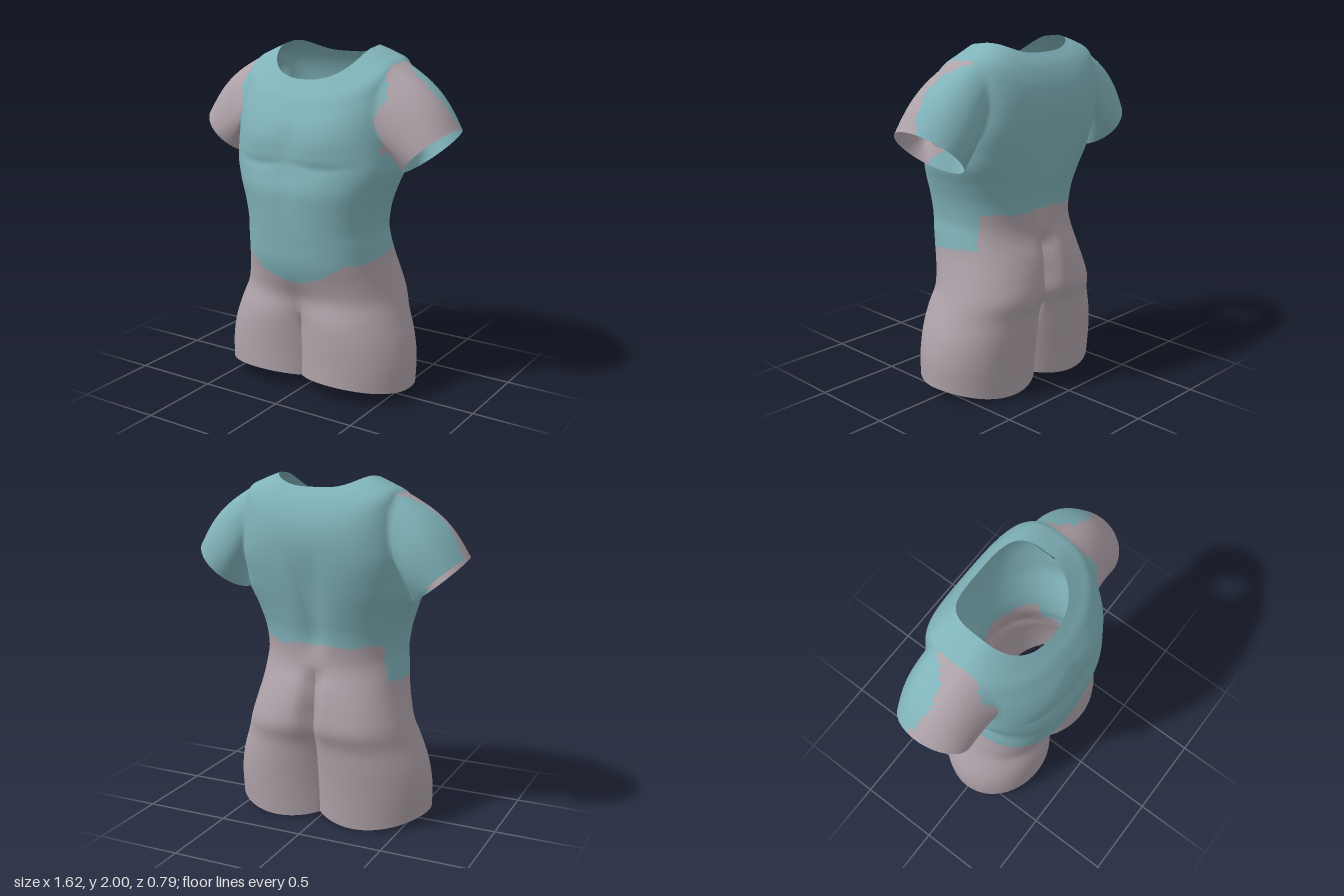
import * as THREE from 'three';

// Body key sections, bottom to top: half width, z front, z back, y front, y side, y back
const level = (w, zF, zB, y) => [w, zF, zB, y, y, y];
const KEYS = [
  [.60, .32, -.31, .10, .06, 0],
  [.60, .32, -.325, .22, .21, .18],
  [.575, .32, -.34, .35, .345, .33],
  level(.53, .315, -.355, .47),         // crotch, legs split below
  level(.49, .303, -.39, .58),
  level(.458, .33, -.38, .69),
  level(.432, .362, -.35, .80),
  level(.42, .375, -.305, .91),
  level(.412, .385, -.295, 1.0),        // waist
  level(.43, .395, -.305, 1.12),
  level(.465, .40, -.33, 1.23),
  level(.505, .38, -.355, 1.34),
  [.505, .373, -.372, 1.43, 1.45, 1.43], // armhole bottom
  [.50, .365, -.39, 1.52, 1.56, 1.55],
  [.49, .345, -.397, 1.60, 1.70, 1.66],
  [.475, .31, -.388, 1.67, 1.83, 1.75],
  [.45, .275, -.365, 1.73, 1.92, 1.82],  // armhole top
  [.37, .235, -.33, 1.78, 1.965, 1.885],
  [.285, .20, -.28, 1.825, 2.0, 1.94],   // neckline
];
const SUB = 6, COLS = 48, INNER = 16;
const ROWS = (KEYS.length - 1) * SUB, SPLIT = 3 * SUB;
const R0 = 12 * SUB, R1 = 16 * SUB, C0 = 16, C1 = 33; // armhole window
const lerp = THREE.MathUtils.lerp, smooth = THREE.MathUtils.smoothstep;
const bell = (d, s) => Math.exp(-(d * d) / (s * s));

// Smooth interpolation of the key sections
function sectionAt(row) {
  const i = Math.min(Math.floor(row / SUB), KEYS.length - 2), t = row / SUB - i;
  const key = j => KEYS[THREE.MathUtils.clamp(j, 0, KEYS.length - 1)];
  return key(i).map((b, n) => {
    const a = key(i - 1)[n], c = key(i + 1)[n], d = key(i + 2)[n];
    return b + .5 * t * (c - a + t * (2 * a - 5 * b + 4 * c - d + t * (3 * (b - c) + d - a)));
  });
}

// Pulls the corners of the armhole window in, so that the opening is oval
function roundArmhole(row, col) {
  const rc = (R0 + R1) / 2, cc = (C0 + C1) / 2;
  const v = (row - rc) / (R1 - rc), u = (col - cc) / (C1 - cc);
  const k = Math.max(1, Math.abs(u), Math.abs(v)), fade = Math.max(0, 2 - k);
  const pull = q => lerp(1, Math.sqrt(1 - q * q / (2 * k * k)), fade);
  return [rc + (row - rc) * pull(u), cc + (col - cc) * pull(v)];
}

// Point on the outer surface of the +x half; column 0 is front centre, last is back centre
function bodyPoint(row, col) {
  const [w, zF, zB, yF, yS, yB] = sectionAt(row);
  const a = Math.PI * col / COLS, c = Math.cos(a), s = Math.max(0, Math.sin(a));
  const zM = (zF + zB) / 2, half = (zF - zB) / 2;
  // broad, squarer upper back
  const e = c > 0 ? .85 : lerp(.85, .62, smooth(yS, 1.25, 1.6));
  let x = w * Math.pow(s, e), z = zM + half * Math.sign(c) * Math.pow(Math.abs(c), e);
  // blend to a round thigh that crosses the centre line
  const b = .11, r = (w + b) / 2, cx = (w - b) / 2, p0 = Math.asin(cx / r);
  const p = -p0 + (a / Math.PI) * (Math.PI + 2 * p0);
  const m = lerp(1 - smooth(yS, .4, .88), 1 - smooth(yS, .4, .75), (c + 1) / 2);
  x = lerp(x, cx + r * Math.sin(p), m);
  z = lerp(z, zM + half * Math.cos(p), m);
  if (col === 0 || col === COLS) x = 0;
  // height follows the tilt of the hem, neckline and shoulders
  const t = lerp(c + .25 * s * s, (z - zM) / half, m);
  const y = lerp(yS, t > 0 ? yF : yB, t * t);
  // chest, breastbone, spine and seat relief
  if (c > 0) {
    z += c * (.012 * bell(x - .2, .15) * bell(y - 1.5, .1)
      - .009 * bell(x - .2, .16) * bell(y - 1.365 - .6 * (x - .2) ** 2, .025)
      - .009 * bell(x, .05) * smooth(y, .9, 1.3) * (1 - smooth(y, 1.5, 1.7)));
  } else {
    z -= c * (.03 * bell(x, .06) * smooth(y, .95, 1.1) * (1 - smooth(y, 1.35, 1.7))
      + .06 * bell(x, .045) * smooth(y, .45, .7) * (1 - smooth(y, .82, .95)));
  }
  return [x, y, z];
}

// Colour areas
function isMauve(x, y, z, sleeve) {
  const wave = .012 * Math.sin(28 * x + 17 * y);
  if (sleeve || y > 1.45) {
    const behind = lerp(.06, -.05 - 3.5 * (x - .66) ** 2, smooth(y, 1.36, 1.5));
    return x > .46 + .02 * Math.sin((y - 1.7) * 25) && z > behind + wave;
  }
  if (z < -.15 + wave) return y < 1.06 + wave;
  const hem = z > .1 && x < .3 ? .69 + .12 * (x / .3) ** 2 : .81 + Math.max(0, .3 - z) * .12;
  return y < hem;
}

function buildHalf() {
  const pos = [], teal = [], mauve = [];
  const add = p => pos.push(p[0], p[1], p[2]) / 3 - 1;
  const get = i => pos.slice(i * 3, i * 3 + 3);
  const tri = (sleeve, ...v) => {
    const m = [0, 1, 2].map(k => (pos[v[0] * 3 + k] + pos[v[1] * 3 + k] + pos[v[2] * 3 + k]) / 3);
    (isMauve(...m, sleeve) ? mauve : teal).push(...v);
  };
  const quad = (a, b, c, d, sleeve = false) => { tri(sleeve, a, b, d); tri(sleeve, b, c, d); };

  // torso and outer thigh, leaving the armhole open
  const grid = [];
  for (let r = 0; r <= ROWS; r++) {
    grid.push([]);
    for (let c = 0; c <= COLS; c++) grid[r].push(add(bodyPoint(...roundArmhole(r, c))));
  }
  for (let r = 0; r < ROWS; r++) for (let c = 0; c < COLS; c++) {
    if (r >= R0 && r < R1 && c >= C0 && c < C1) continue;
    quad(grid[r][c], grid[r][c + 1], grid[r + 1][c + 1], grid[r + 1][c]);
  }

  // inner thigh
  const inner = [];
  for (let r = 0; r <= SPLIT; r++) {
    const back = get(grid[r][COLS]), front = get(grid[r][0]);
    const bulge = (.11 + .06 * Math.sin(Math.PI * r / SPLIT)) * Math.min(1, (SPLIT - r) / (SUB * 1.2));
    inner.push([grid[r][COLS]]);
    for (let k = 1; k < INNER; k++) {
      const s = k / INNER;
      inner[r].push(add([-bulge * Math.sin(Math.PI * s), lerp(back[1], front[1], s), lerp(back[2], front[2], s)]));
    }
    inner[r].push(grid[r][0]);
  }
  for (let r = 0; r < SPLIT; r++) for (let k = 0; k < INNER; k++)
    quad(inner[r][k], inner[r][k + 1], inner[r + 1][k + 1], inner[r + 1][k]);

  // sleeve, from the armhole edge to a tilted oval cuff
  let ring = [];
  for (let c = C1; c > C0; c--) ring.push(grid[R1][c]);
  for (let r = R1; r > R0; r--) ring.push(grid[r][C0]);
  for (let c = C0; c < C1; c++) ring.push(grid[R0][c]);
  for (let r = R0; r < R1; r++) ring.push(grid[r][C1]);
  const edge = ring.map(get), STEPS = 14;
  const angles = edge.map(p => Math.atan2((p[2] + .04) / .22, (p[1] - 1.68) / .24));
  for (let j = 1; j <= STEPS; j++) {
    const s = j / STEPS, puff = Math.sin(Math.PI * s);
    const next = edge.map((p, i) => {
      const ca = Math.cos(angles[i]), sa = Math.sin(angles[i]), up = Math.max(0, ca);
      return add([
        lerp(p[0], .665 + .145 * ca, s) + .035 * puff * up,
        lerp(p[1], 1.45 + .13 * ca, s) + .03 * puff * up,
        lerp(p[2], -.07 + .22 * sa, s) + .02 * puff * Math.min(0, sa),
      ]);
    });
    for (let i = 0; i < ring.length; i++) {
      const n = (i + 1) % ring.length;
      quad(ring[i], ring[n], next[n], next[i], true);
    }
    ring = next;
  }

  const geo = new THREE.BufferGeometry();
  geo.setAttribute('position', new THREE.Float32BufferAttribute(pos, 3));
  geo.setIndex([...teal, ...mauve]);
  geo.addGroup(0, teal.length, 0);
  geo.addGroup(teal.length, mauve.length, 1);
  geo.computeVertexNormals();
  // smooth the centre seam above the legs, keeping the rear cleft sharp
  const normal = geo.attributes.normal, v = new THREE.Vector3();
  for (let r = SPLIT + 1; r <= ROWS; r++) for (const c of [0, COLS]) {
    if (c === COLS && r < 7 * SUB) continue;
    v.fromBufferAttribute(normal, grid[r][c]).setX(0).normalize();
    normal.setXYZ(grid[r][c], v.x, v.y, v.z);
  }
  return geo;
}

function mirrored(geo) {
  const copy = geo.clone().scale(-1, 1, 1), ix = copy.index;
  for (let i = 0; i < ix.count; i += 3) {
    const t = ix.getX(i);
    ix.setX(i, ix.getX(i + 1));
    ix.setX(i + 1, t);
  }
  return copy;
}

export function createModel() {
  const teal = new THREE.MeshStandardMaterial({ color: 0x80b3ba, side: THREE.DoubleSide });
  teal.name = 'teal';
  const mauve = new THREE.MeshStandardMaterial({ color: 0xaea2a9, side: THREE.DoubleSide });
  mauve.name = 'mauve grey';
  const group = new THREE.Group();
  group.name = 'torso';
  const half = buildHalf();
  for (const [name, geo] of [['leftBodyHalf', half], ['rightBodyHalf', mirrored(half)]]) {
    const mesh = new THREE.Mesh(geo, [teal, mauve]);
    mesh.name = name;
    group.add(mesh);
  }
  return group;
}
